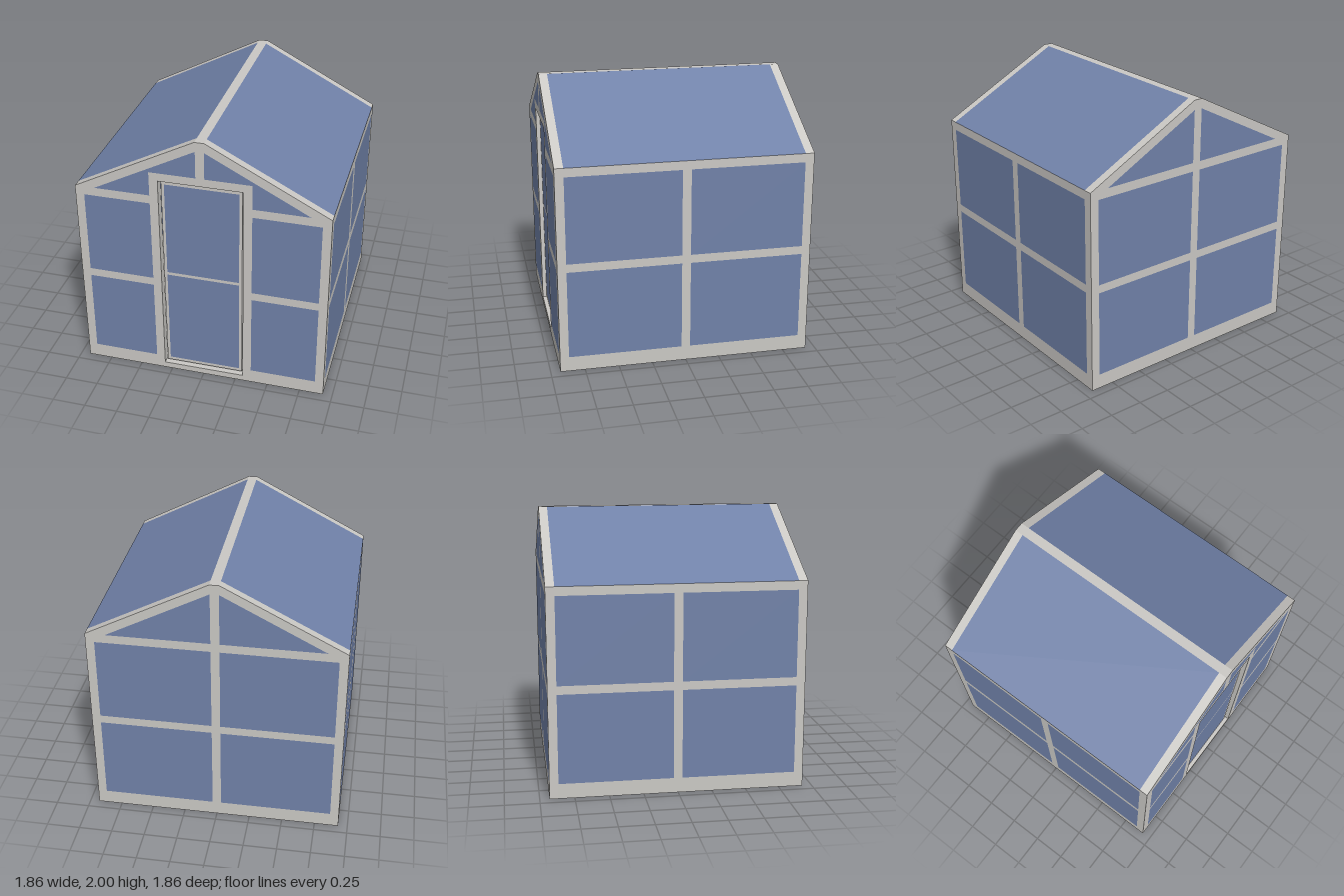
import * as THREE from 'three';

const HALF = 0.93, WALL = 0.065, INNER = HALF - WALL;
const EAVE = 1.535, TOP = 2, RIDGE = 0.035;

const frameMat = new THREE.MeshStandardMaterial({ color: 0xcac8c4 });
frameMat.name = 'pale grey frame';
const glassMat = new THREE.MeshStandardMaterial({ color: 0x7081a8 });
glassMat.name = 'blue glass';

const toPoints = (list) => list.map(([x, y]) => new THREE.Vector2(x, y));
const rect = (x0, y0, x1, y1) => [[x0, y0], [x1, y0], [x1, y1], [x0, y1]];
const mirrorX = (list) => list.map(([x, y]) => [-x, y]).reverse();
const bothSides = (panes) => panes.flatMap((p) => [p, mirrorX(p)]);

function prism(name, outline, holes, depth, material) {
  const shape = new THREE.Shape(toPoints(outline));
  holes.forEach((h) => shape.holes.push(new THREE.Path(toPoints(h))));
  const geometry = new THREE.ExtrudeGeometry(shape, { depth, bevelEnabled: false });
  const mesh = new THREE.Mesh(geometry, material);
  mesh.name = name;
  return mesh;
}

// A frame with flush panes; openings are left empty
function glazedPanel(name, outline, panes, depth, openings = []) {
  const group = new THREE.Group();
  group.name = name;
  group.add(prism(name + 'Frame', outline, [...panes, ...openings], depth, frameMat));
  panes.forEach((p) => group.add(prism(name + 'Pane', p, [], depth, glassMat)));
  return group;
}

// Stand a panel on one of the four sides, facing outward
function placeWall(panel, angle) {
  panel.rotation.y = angle;
  panel.position.set(Math.sin(angle) * INNER, 0, Math.cos(angle) * INNER);
  return panel;
}

export function createModel() {
  const house = new THREE.Group();
  house.name = 'greenhouse';

  const gable = [[-HALF, 0], [HALF, 0], [HALF, EAVE], [RIDGE, TOP], [-RIDGE, TOP], [-HALF, EAVE]];
  // Two rows of panes from x to the corner post
  const rows = (x) => [rect(x, 0.11, INNER, 0.768), rect(x, 0.83, INNER, 1.47)];

  // Front wall with doorway
  const frontPanes = bothSides([
    ...rows(0.372),
    [[0.372, EAVE], [0.785, EAVE], [0.032, 1.928], [0.032, 1.722], [0.372, 1.722]],
  ]);
  const doorway = rect(-0.308, 0.047, 0.308, 1.66);
  house.add(placeWall(glazedPanel('frontWall', gable, frontPanes, WALL, [doorway]), 0));

  // Back wall
  const backPanes = bothSides([
    ...rows(0.032),
    [[0.032, EAVE], [0.785, EAVE], [0.032, 1.928]],
  ]);
  house.add(placeWall(glazedPanel('backWall', gable, backPanes, WALL), Math.PI));

  // Side walls
  const sidePanes = bothSides(rows(0.032));
  for (const [name, angle] of [['leftWall', Math.PI / 2], ['rightWall', -Math.PI / 2]]) {
    house.add(placeWall(glazedPanel(name, rect(-0.9, 0, 0.9, EAVE), sidePanes, WALL), angle));
  }

  // Door, set back in its opening with a narrow gap all round
  const doorPanes = [rect(-0.272, 0.085, 0.272, 0.857), rect(-0.272, 0.88, 0.272, 1.622)];
  const door = glazedPanel('door', rect(-0.294, 0.06, 0.294, 1.645), doorPanes, 0.03);
  door.position.z = INNER + 0.005;
  house.add(door);

  // Roof glass and ridge beam between the gables
  const slope = [[RIDGE, 1.93], [0.8, EAVE], [HALF, EAVE], [RIDGE, TOP]];
  const roof = [
    prism('leftRoofGlass', slope, [], 2 * INNER, glassMat),
    prism('rightRoofGlass', mirrorX(slope), [], 2 * INNER, glassMat),
    prism('ridgeBeam', rect(-RIDGE, 1.93, RIDGE, TOP), [], 2 * INNER, frameMat),
  ];
  for (const part of roof) {
    part.position.z = -INNER;
    house.add(part);
  }

  // Floor
  const floor = new THREE.Mesh(new THREE.BoxGeometry(2 * INNER, 0.045, 2 * INNER), frameMat);
  floor.name = 'floor';
  floor.position.y = 0.0225;
  house.add(floor);

  return house;
}
